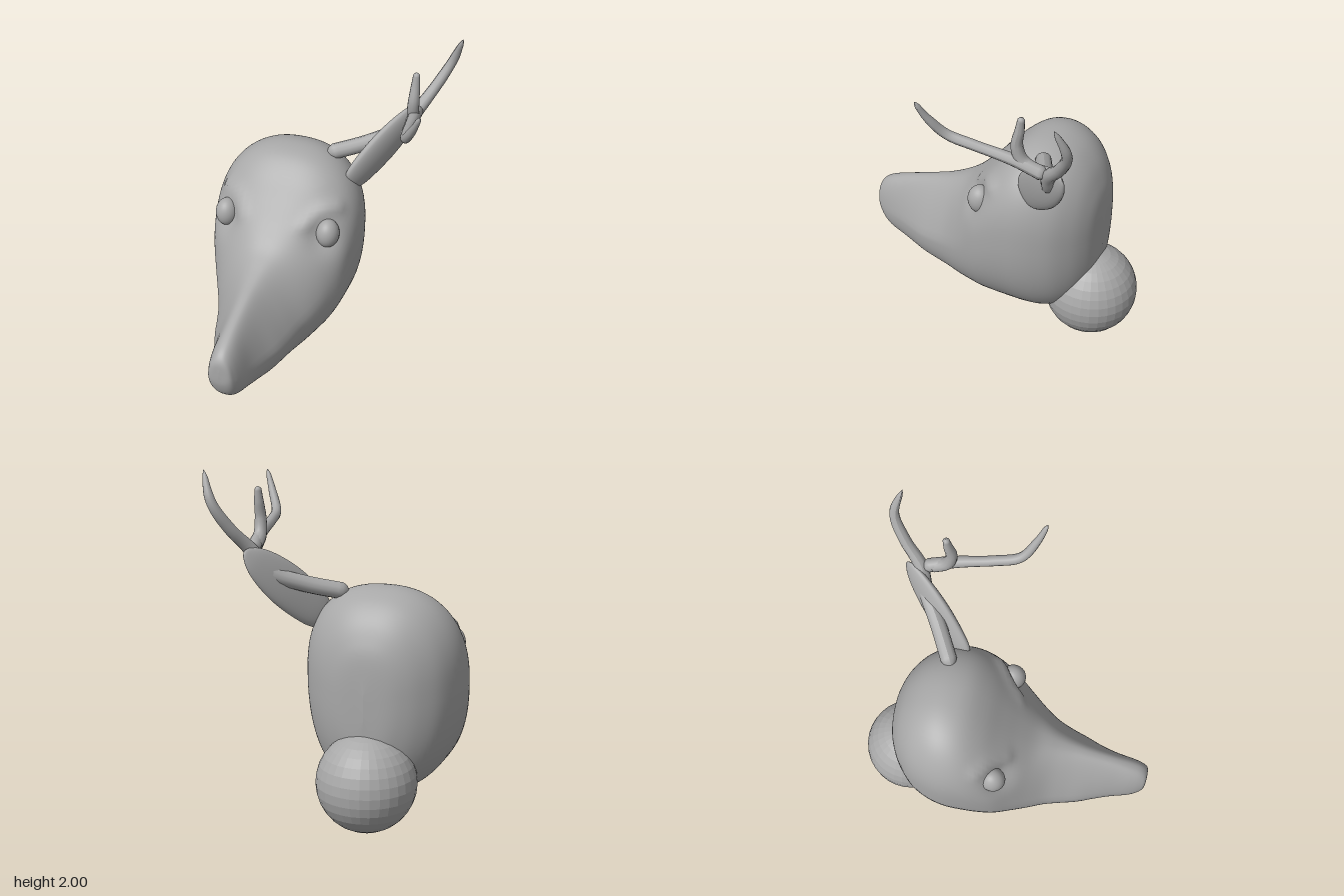
import * as THREE from 'three';

const CX = -0.22; // centre plane of the head

// Head stations: z, top, bottom, half width, pinch of the upper half
const STATIONS = [
  [0.9, 0.52, 0.48, 0.0, 0.1], [0.893, 0.58, 0.41, 0.06, 0.1], [0.86, 0.625, 0.33, 0.085, 0.15],
  [0.8, 0.66, 0.27, 0.105, 0.2], [0.7, 0.7, 0.235, 0.13, 0.35], [0.6, 0.735, 0.21, 0.165, 0.45],
  [0.5, 0.77, 0.19, 0.205, 0.5], [0.4, 0.805, 0.175, 0.235, 0.45], [0.3, 0.85, 0.162, 0.268, 0.35],
  [0.2, 0.91, 0.155, 0.318, 0.2], [0.1, 1.01, 0.151, 0.37, 0.08], [0, 1.125, 0.15, 0.42, 0],
  [-0.1, 1.24, 0.15, 0.448, 0], [-0.2, 1.318, 0.15, 0.46, 0], [-0.3, 1.345, 0.15, 0.458, 0],
  [-0.4, 1.335, 0.16, 0.432, 0], [-0.5, 1.285, 0.2, 0.38, 0], [-0.58, 1.2, 0.28, 0.3, 0],
  [-0.63, 1.1, 0.38, 0.22, 0], [-0.66, 0.99, 0.48, 0.13, 0], [-0.672, 0.8, 0.65, 0, 0],
];

const gauss = (d, r) => Math.exp(-(d * d) / (r * r));

function headGeometry() {
  const rows = 100, cols = 72, pos = [], index = [];
  const outline = new THREE.CatmullRomCurve3(STATIONS.map(s => new THREE.Vector3(s[0], s[1], s[2])), false, 'catmullrom');
  const width = new THREE.CatmullRomCurve3(STATIONS.map(s => new THREE.Vector3(s[0], s[3], s[4])), false, 'catmullrom');
  const socket = new THREE.Vector3(0.32, 0.95, 0.05);
  const brow = new THREE.CatmullRomCurve3([
    new THREE.Vector3(0.2, 1.03, 0.07), new THREE.Vector3(0.27, 1.1, -0.01), new THREE.Vector3(0.35, 1.1, -0.1),
  ]).getPoints(12);
  for (let i = 0; i <= rows; i++) {
    const a = outline.getPoint(i / rows), b = width.getPoint(i / rows);
    const z = a.x, top = a.y, bottom = a.z, half = Math.max(0, b.y);
    const mid = bottom + (top - bottom) * THREE.MathUtils.lerp(0.58, 0.42, THREE.MathUtils.smoothstep(z, -0.2, 0.6));
    for (let j = 0; j < cols; j++) {
      const t = j / cols * Math.PI * 2, c = Math.cos(t), s = Math.sin(t);
      const cc = Math.sign(c) * Math.abs(c) ** 0.85, ss = Math.sign(s) * Math.abs(s) ** 0.85;
      const p = new THREE.Vector3(
        half * cc * (1 - b.z * Math.max(0, ss)),
        mid + ss * (s > 0 ? top - mid : mid - bottom), z);
      // Eye sockets sink in, brow ridges rise
      const side = p.x < 0 ? -1 : 1;
      const q = new THREE.Vector3(Math.abs(p.x), p.y, p.z);
      const dBrow = Math.min(...brow.map(v => v.distanceTo(q)));
      const push = 0.02 * gauss(dBrow, 0.045) - 0.04 * gauss(q.distanceTo(socket), 0.09);
      p.x += side * push * 0.7;
      p.z += push * 0.6;
      p.y += Math.max(0, push) * 0.4;
      pos.push(p.x, p.y, p.z);
      if (i < rows) {
        const k = i * cols + j, n = i * cols + (j + 1) % cols;
        index.push(k, k + cols, n, n, k + cols, n + cols);
      }
    }
  }
  const g = new THREE.BufferGeometry();
  g.setAttribute('position', new THREE.Float32BufferAttribute(pos, 3));
  g.setIndex(index);
  g.computeVertexNormals();
  return g;
}

// Tube with a radius that varies along its path and rounded, closed ends
function branchGeometry(points, radii) {
  const segs = 48, sides = 12;
  const curve = new THREE.CatmullRomCurve3(points.map(p => new THREE.Vector3(...p)));
  const g = new THREE.TubeGeometry(curve, segs, 1, sides);
  const pos = g.attributes.position, v = new THREE.Vector3();
  for (let i = 0; i <= segs; i++) {
    const u = i / segs, f = u * (radii.length - 1), k = Math.min(Math.floor(f), radii.length - 2);
    const end = Math.sqrt(Math.min(1, Math.min(u, 1 - u) / 0.04));
    const r = THREE.MathUtils.lerp(radii[k], radii[k + 1], f - k) * end;
    const centre = curve.getPointAt(u);
    for (let j = 0; j <= sides; j++) {
      const n = i * (sides + 1) + j;
      v.fromBufferAttribute(pos, n).sub(centre).multiplyScalar(r).add(centre);
      pos.setXYZ(n, v.x, v.y, v.z);
    }
  }
  g.computeVertexNormals();
  return g;
}

// Flattened leaf placed along its own axis
function earGeometry() {
  const base = new THREE.Vector3(0.13, 1.13, -0.31), tip = new THREE.Vector3(0.46, 1.56, -0.69);
  const profile = [[0, 0], [0.075, 0.02], [0.108, 0.08], [0.125, 0.2], [0.128, 0.33], [0.112, 0.46],
    [0.08, 0.57], [0.035, 0.64], [0, 0.66]].map(p => new THREE.Vector2(...p));
  const smooth = new THREE.SplineCurve(profile).getPoints(32);
  smooth.forEach(p => { p.x = Math.max(0, p.x); });
  const axis = tip.clone().sub(base).normalize();
  const wide = new THREE.Vector3(0.1, -0.15, -0.2);
  wide.addScaledVector(axis, -wide.dot(axis)).normalize();
  const thin = wide.clone().cross(axis).normalize();
  const m = new THREE.Matrix4().makeBasis(wide, axis, thin).setPosition(base);
  return new THREE.LatheGeometry(smooth, 28).scale(1, 1, 0.36).applyMatrix4(m);
}

export function createModel() {
  const model = new THREE.Group();
  model.name = 'deerHead';
  const clay = new THREE.MeshStandardMaterial({ color: 0xa8a8a8 });
  clay.name = 'clayGrey';
  const add = (name, geometry, x = 0, y = 0, z = 0, parent = model) => {
    const mesh = new THREE.Mesh(geometry, clay);
    mesh.name = name;
    mesh.position.set(x, y, z);
    parent.add(mesh);
    return mesh;
  };

  add('head', headGeometry(), CX);

  // Eyes
  for (const side of [-1, 1]) {
    add(side > 0 ? 'leftEye' : 'rightEye', new THREE.SphereGeometry(1, 28, 18).scale(0.07, 0.09, 0.075),
      CX + side * 0.325, 0.965, -0.008);
  }

  // Faceted neck ball
  const ball = new THREE.SphereGeometry(0.285, 32, 16).toNonIndexed();
  ball.computeVertexNormals();
  add('neckBall', ball, CX, 0.285, -0.612);

  add('leftEar', earGeometry());

  // Single antler with a main beam and two tines
  const antler = new THREE.Group();
  antler.name = 'leftAntler';
  model.add(antler);
  const branches = {
    mainBeam: [[[-0.03, 1.295, -0.345], [0.2, 1.355, -0.47], [0.37, 1.43, -0.575], [0.45, 1.55, -0.61],
      [0.53, 1.68, -0.71], [0.605, 1.83, -0.775], [0.668, 2.0, -0.728]],
      [0.048, 0.048, 0.047, 0.046, 0.042, 0.035, 0.032, 0.026, 0.01]],
    frontTine: [[[0.45, 1.55, -0.6], [0.48, 1.61, -0.42], [0.51, 1.65, -0.2], [0.54, 1.69, -0.05],
      [0.6, 1.8, 0.03], [0.65, 1.915, 0.078]], [0.042, 0.035, 0.03, 0.03, 0.025, 0.012]],
    upperTine: [[[0.455, 1.56, -0.55], [0.465, 1.61, -0.46], [0.472, 1.7, -0.43], [0.474, 1.8, -0.445],
      [0.475, 1.885, -0.455]], [0.038, 0.038, 0.034, 0.028, 0.018]],
  };
  for (const [name, [points, radii]] of Object.entries(branches)) {
    add(name, branchGeometry(points, radii), 0, 0, 0, antler);
  }
  return model;
}
